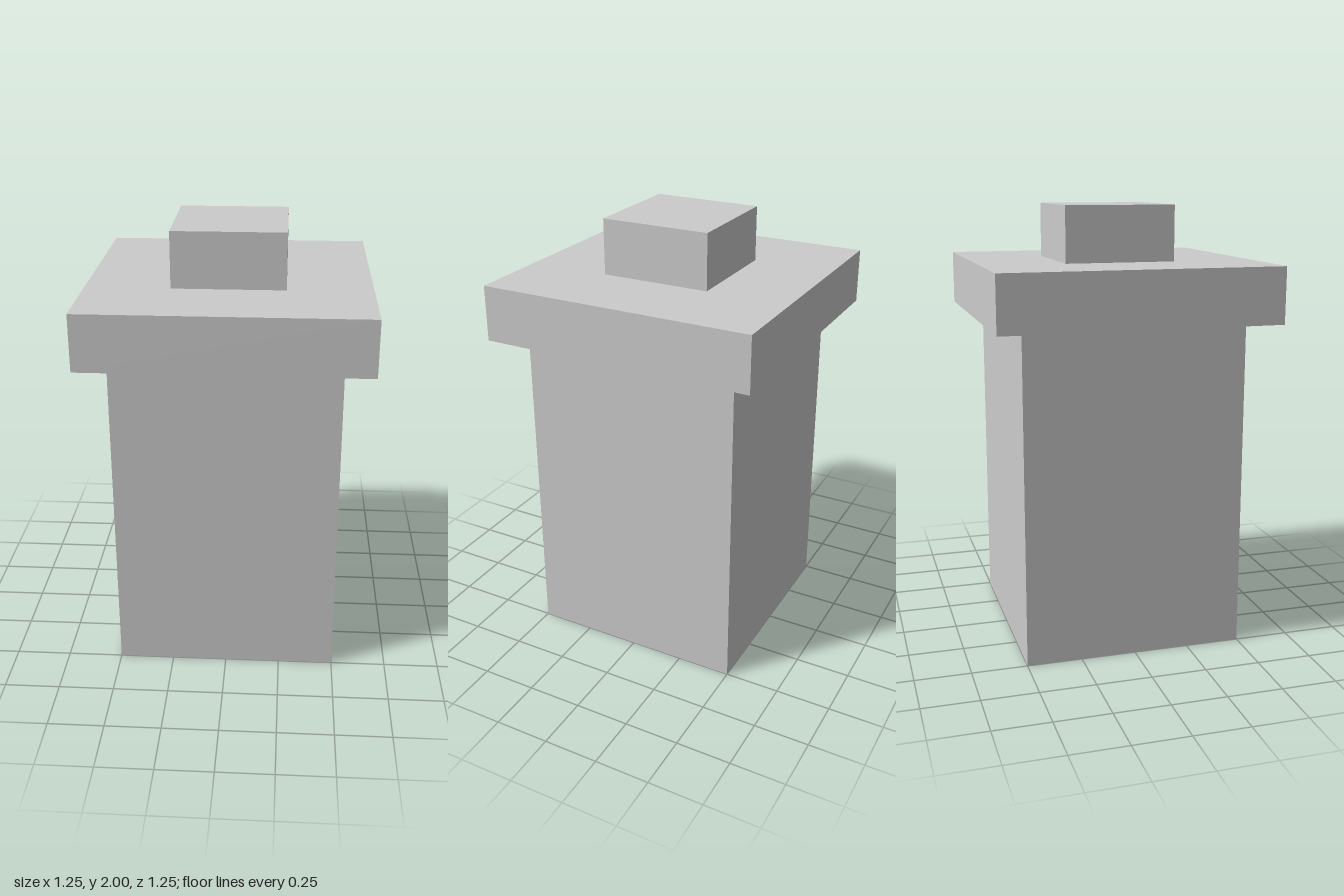
import * as THREE from 'three';

export function createModel() {
  const model = new THREE.Group();
  const material = new THREE.MeshStandardMaterial({ color: 0xcccccc });

  // Square block standing on height y
  function addBlock(name, width, height, y) {
    const mesh = new THREE.Mesh(new THREE.BoxGeometry(width, height, width), material);
    mesh.name = name;
    mesh.position.y = y + height / 2;
    model.add(mesh);
  }

  addBlock('body', 1, 1.5, 0);
  addBlock('lid', 1.25, 0.25, 1.5); // overhangs the body on all sides
  addBlock('knob', 0.5, 0.25, 1.75);

  return model;
}
